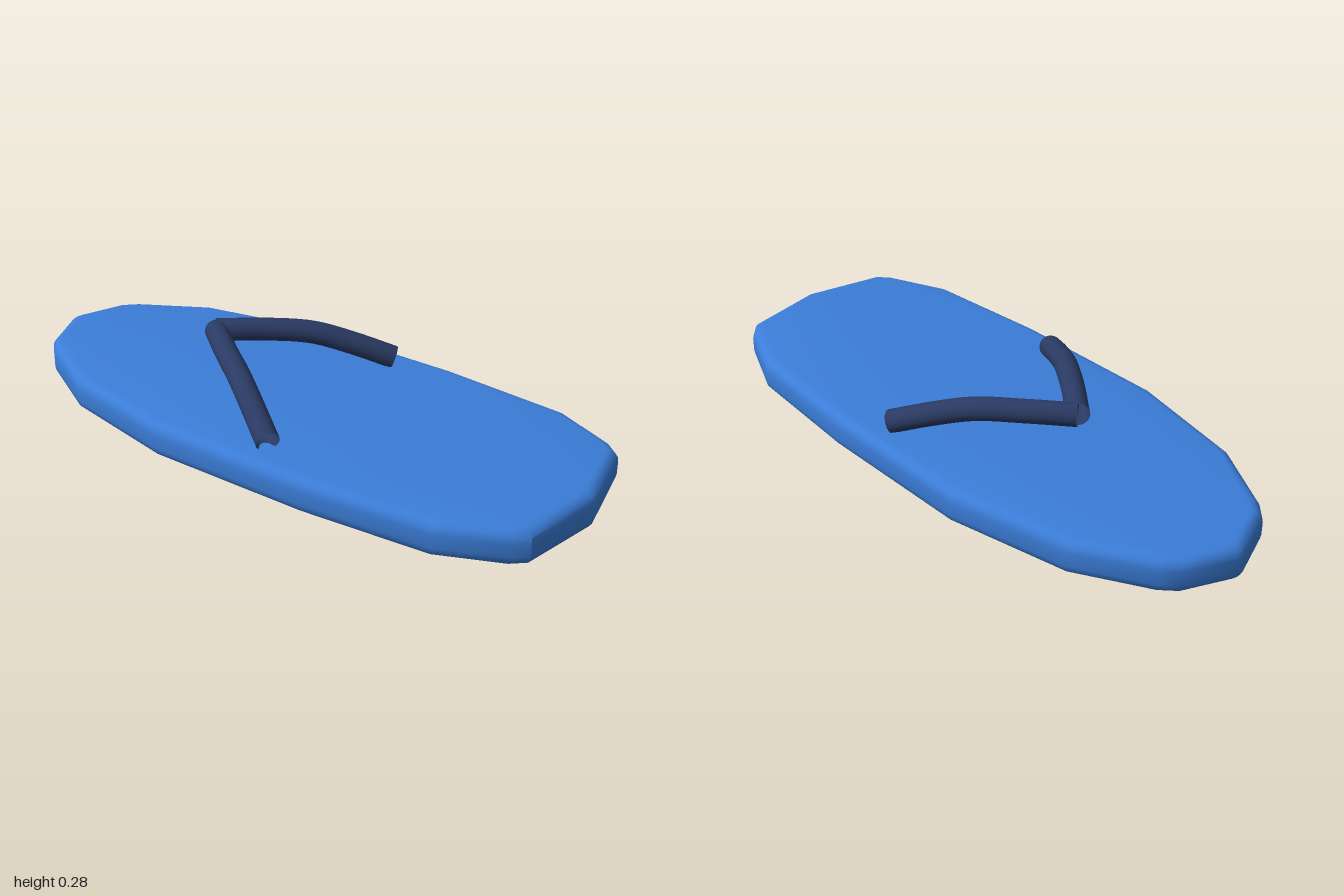
import * as THREE from 'three';
import { toCreasedNormals } from 'three/addons/utils/BufferGeometryUtils.js';

export function createModel() {
  const sandal = new THREE.Group();
  sandal.name = 'sandal';
  const soleMaterial = new THREE.MeshStandardMaterial({ color: 0x3b7dd8 });
  const strapMaterial = new THREE.MeshStandardMaterial({ color: 0x2a3a63, side: THREE.DoubleSide });

  // Sole: half outline (x, z) from one end to the other, mirrored across x
  const half = [
    [0.02, -0.995], [0.17, -0.932], [0.215, -0.885], [0.342, -0.66], [0.425, -0.26],
    [0.425, 0.28], [0.392, 0.7], [0.305, 0.9], [0.265, 0.945],
  ];
  const outline = [
    [0, -1], ...half, [0, 1],
    ...half.map(([x, z]) => [-x, z]).reverse(),
  ].map(([x, z]) => new THREE.Vector2(x, z));

  const height = 0.118;
  const bevel = 0.037;
  const soleGeometry = new THREE.ExtrudeGeometry(new THREE.Shape(outline), {
    depth: height - 2 * bevel,
    bevelThickness: bevel,
    bevelSize: bevel,
    bevelOffset: -bevel,
    bevelSegments: 4,
  });
  soleGeometry.rotateX(Math.PI / 2);
  soleGeometry.translate(0, height - bevel, 0);
  const sole = new THREE.Mesh(toCreasedNormals(soleGeometry, 0.6), soleMaterial);
  sole.name = 'sole';
  sandal.add(sole);

  // Straps: two open tubes meeting in a V
  for (const side of [1, -1]) {
    const path = new THREE.CatmullRomCurve3([
      [0, 0.241, -0.357], [0.1, 0.239, -0.235], [0.19, 0.228, -0.113],
      [0.26, 0.193, -0.01], [0.338, 0.142, 0.108],
    ].map(([x, y, z]) => new THREE.Vector3(side * x, y, z)));
    const strap = new THREE.Mesh(new THREE.TubeGeometry(path, 24, 0.037, 16), strapMaterial);
    strap.name = side > 0 ? 'leftStrap' : 'rightStrap';
    sandal.add(strap);
  }
  return sandal;
}
